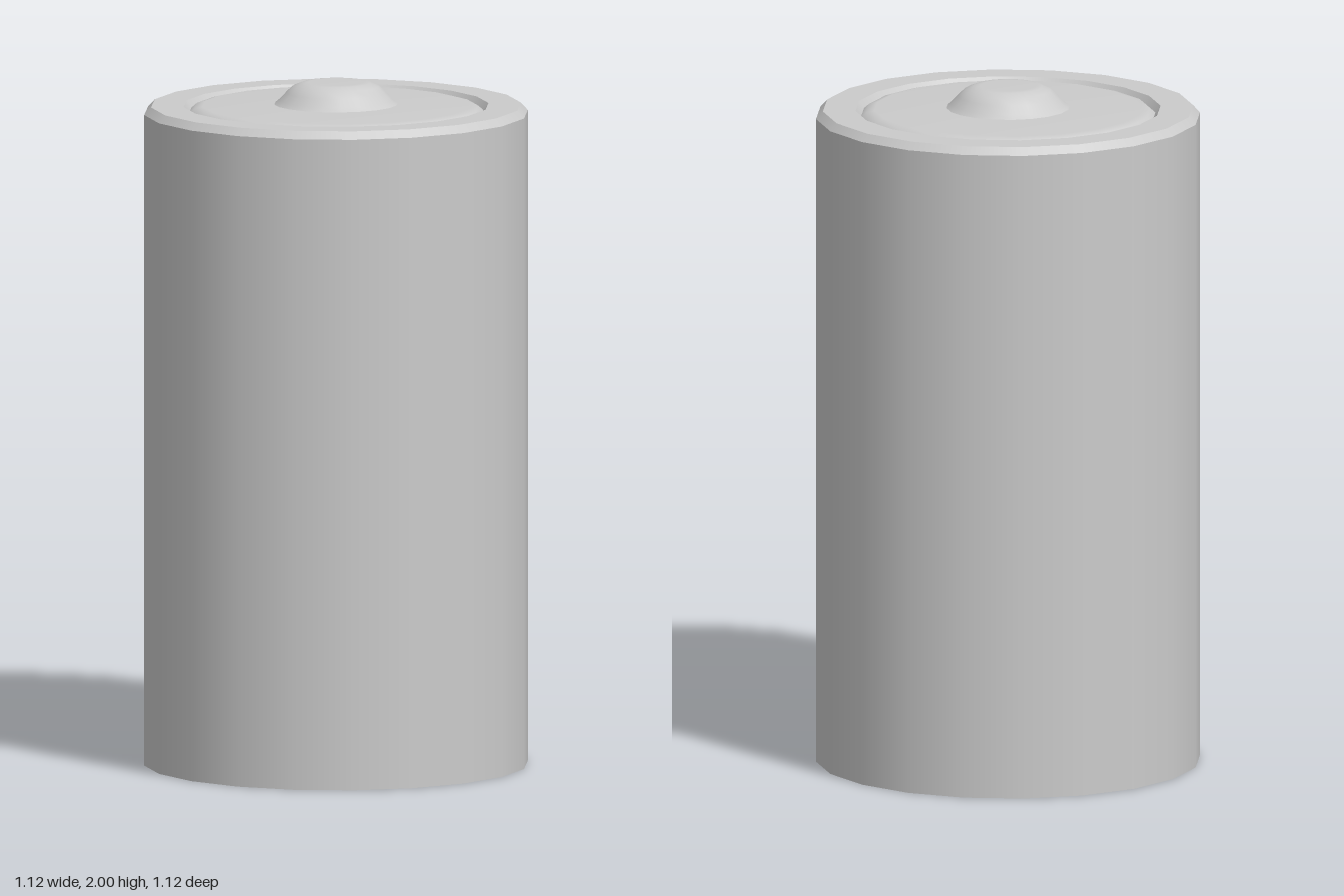
import * as THREE from 'three';

const SIDES = 20;

export function createModel() {
  const group = new THREE.Group();
  group.name = 'batteryCell';
  const material = new THREE.MeshStandardMaterial({ color: 0xcccccc });

  // Each band is its own lathe, so edges between bands stay crisp.
  // Profiles run up the outside and then inwards, as [radius, height].
  const addBand = (name, profile) => {
    const points = profile.map(([r, y]) => new THREE.Vector2(r, y));
    const mesh = new THREE.Mesh(new THREE.LatheGeometry(points, SIDES), material);
    mesh.name = name;
    group.add(mesh);
  };

  // Casing
  addBand('base', [[0, 0], [0.56, 0]]);
  addBand('casing', [[0.56, 0], [0.56, 1.91]]);
  addBand('rimBevel', [[0.56, 1.91], [0.54, 1.932]]);
  addBand('rim', [[0.54, 1.932], [0.445, 1.932]]);
  addBand('rimInnerBevel', [[0.445, 1.932], [0.43, 1.912]]);

  // Slightly domed end cap
  addBand('endCap', [[0.43, 1.912], [0.415, 1.925], [0.39, 1.932], [0.18, 1.936]]);

  // Raised terminal with a rounded shoulder
  addBand('terminal', [
    [0.18, 1.936], [0.165, 1.948], [0.145, 1.97], [0.125, 1.988], [0.1, 1.998], [0.08, 2], [0, 2],
  ]);

  return group;
}
